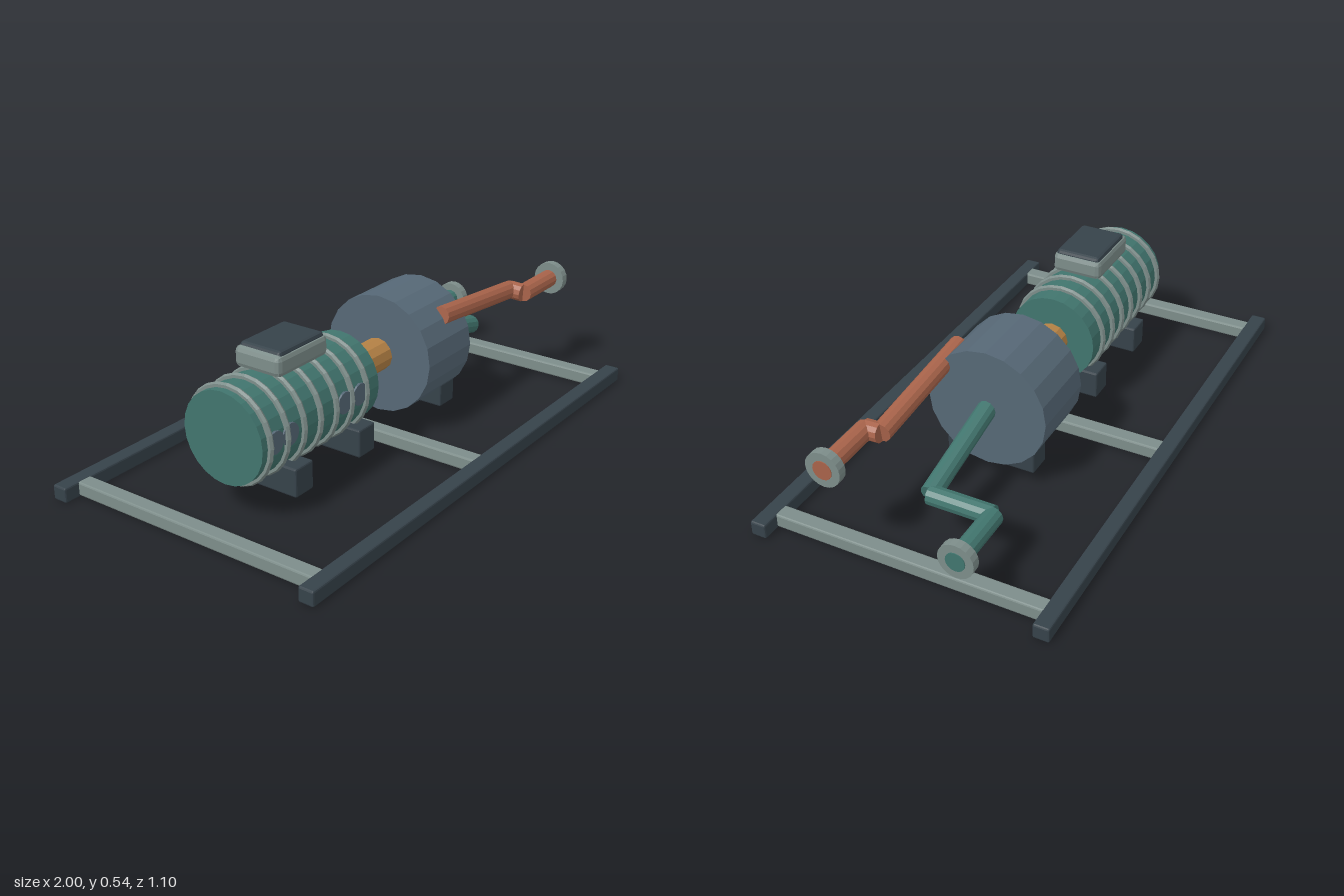
import * as THREE from 'three';
import { RoundedBoxGeometry } from 'three/addons/geometries/RoundedBoxGeometry.js';

const paint = (name, color) => {
  const m = new THREE.MeshStandardMaterial({ color, flatShading: true });
  m.name = name;
  return m;
};

export function createModel() {
  const darkSteel = paint('dark steel', 0x36424a);
  const paleSteel = paint('pale steel', 0x7d8d8a);
  const teal = paint('teal', 0x41756e);
  const slate = paint('slate', 0x566876);
  const copper = paint('copper', 0xa8634a);
  const brass = paint('brass', 0xb58245);
  const model = new THREE.Group();
  model.name = 'pumpSkid';

  const add = (name, geometry, material, x = 0, y = 0, z = 0) => {
    const mesh = new THREE.Mesh(geometry, material);
    mesh.name = name;
    mesh.position.set(x, y, z);
    model.add(mesh);
    return mesh;
  };
  const box = (name, mat, w, h, d, x, y, z, r = 0.006) =>
    add(name, new RoundedBoxGeometry(w, h, d, 1, r), mat, x, y, z);

  // Cylinder running along x between two stations
  const drum = (name, mat, r, x0, x1, y, z, sides = 20) =>
    add(name, new THREE.CylinderGeometry(r, r, x1 - x0, sides).rotateZ(Math.PI / 2), mat, (x0 + x1) / 2, y, z);

  // Straight pipe lengths joined at corner points
  const pipe = (name, mat, r, points) => {
    const group = new THREE.Group();
    group.name = name;
    const p = points.map((a) => new THREE.Vector3(...a));
    for (let i = 1; i < p.length; i++) {
      const dir = p[i].clone().sub(p[i - 1]);
      const mesh = new THREE.Mesh(new THREE.CylinderGeometry(r, r, dir.length(), 12), mat);
      mesh.name = name + 'Length' + i;
      mesh.position.copy(p[i]).add(p[i - 1]).multiplyScalar(0.5);
      mesh.quaternion.setFromUnitVectors(new THREE.Vector3(0, 1, 0), dir.normalize());
      group.add(mesh);
    }
    model.add(group);
  };

  // Base frame
  for (const s of [1, -1]) box('rail', darkSteel, 2, 0.055, 0.058, 0, 0.0285, s * 0.521);
  for (const x of [-0.91, 0, 0.905]) box('crossMember', paleSteel, 0.058, 0.05, 1, x, 0.03, 0);

  // Feet
  for (const x of [-0.555, -0.205]) box('motorFoot', darkSteel, 0.092, 0.105, 0.34, x, 0.11, 0);
  box('pumpFoot', darkSteel, 0.092, 0.09, 0.34, 0.31, 0.103, 0);

  // Motor with cooling ribs
  const axisY = 0.29;
  drum('motor', teal, 0.165, -0.755, -0.13, axisY, 0, 24);
  for (let i = 0; i < 7; i++) {
    add('motorRib', new THREE.TorusGeometry(0.17, 0.011, 6, 24).rotateY(Math.PI / 2), paleSteel, -0.72 + i * 0.0858, axisY, 0);
  }

  // Round covers on the motor's front flank
  for (const x of [-0.69, -0.615, -0.325, -0.24]) {
    add('motorCover', new THREE.CylinderGeometry(0.04, 0.04, 0.012, 14).rotateX(Math.PI / 2), slate, x, 0.297, 0.161);
  }

  // Terminal box and its lid
  box('terminalBox', paleSteel, 0.26, 0.075, 0.19, -0.452, 0.492, 0, 0.018);
  box('terminalLid', darkSteel, 0.232, 0.03, 0.172, -0.448, 0.526, 0, 0.012);

  // Coupling and pump casing
  drum('coupling', brass, 0.062, -0.14, 0.11, axisY, 0, 12);
  drum('pumpCasing', slate, 0.225, 0.1, 0.375, axisY, 0, 20);

  // Suction pipe and discharge pipe
  pipe('suctionPipe', teal, 0.035, [[0.36, 0.29, 0], [0.755, 0.195, 0], [0.755, 0.195, -0.232], [0.998, 0.195, -0.232]]);
  pipe('dischargePipe', copper, 0.035, [[0.25, 0.43, 0.172], [0.755, 0.383, 0.172], [0.755, 0.38, 0.23], [0.998, 0.38, 0.23]]);

  // Flanges with the pipe bore shown at the end
  for (const [y, z, mat] of [[0.195, -0.232, teal], [0.38, 0.23, copper]]) {
    drum('flange', paleSteel, 0.064, 0.964, 0.997, y, z, 20);
    drum('flangeBore', mat, 0.035, 0.994, 1, y, z, 16);
  }
  return model;
}
